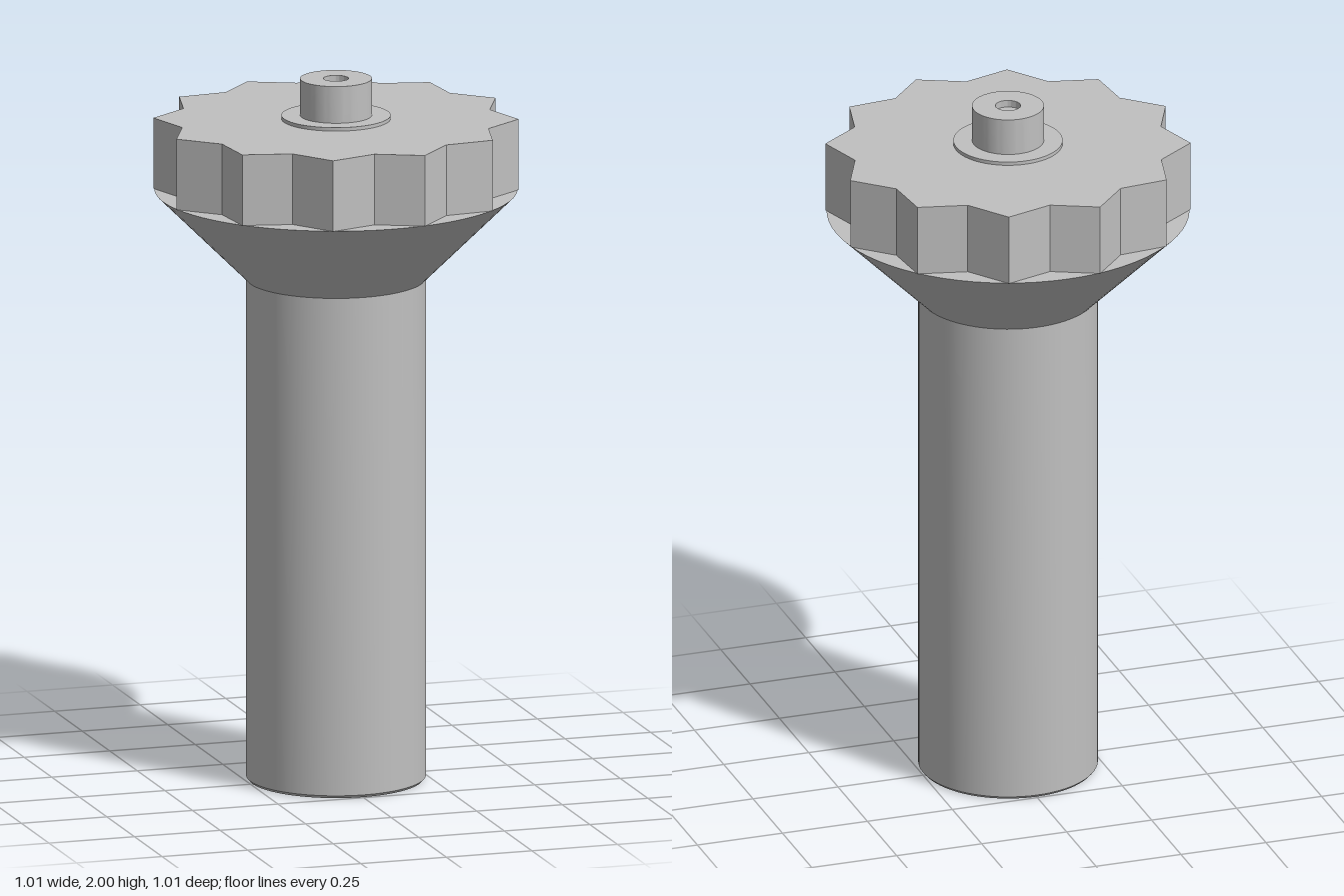
import * as THREE from 'three';
import { toCreasedNormals } from 'three/addons/utils/BufferGeometryUtils.js';

export function createModel() {
  const model = new THREE.Group();
  model.name = 'knob';
  const grey = new THREE.MeshStandardMaterial({ color: 0xc0c0c0 });
  grey.name = 'grey';

  const add = (name, geometry) => {
    const mesh = new THREE.Mesh(geometry, grey);
    mesh.name = name;
    model.add(mesh);
  };

  // Round parts: profile of [radius, height] from the bottom up
  const turn = (name, profile) => {
    const points = profile.map(([r, y]) => new THREE.Vector2(r, y));
    add(name, toCreasedNormals(new THREE.LatheGeometry(points, 72), 0.5));
  };

  // Shaft with a small bevel at the foot
  turn('shaft', [[0, 0], [0.243, 0], [0.25, 0.008], [0.25, 1.43]]);

  // Flaring collar with a flat top
  turn('collar', [[0.25, 1.43], [0.505, 1.683], [0, 1.683]]);

  // Toothed grip: twelve tips with valleys midway between them
  const outline = [];
  for (let i = 0; i < 24; i++) {
    const angle = THREE.MathUtils.degToRad(11.25 + i * 15);
    const radius = i % 2 ? 0.441 : 0.508;
    outline.push(new THREE.Vector2(radius * Math.cos(angle), radius * Math.sin(angle)));
  }
  const grip = new THREE.ExtrudeGeometry(new THREE.Shape(outline), { depth: 0.202, bevelEnabled: false });
  grip.rotateX(-Math.PI / 2);
  grip.translate(0, 1.683, 0);
  add('toothedGrip', grip);

  // Thin washer under the pin
  turn('washer', [[0.152, 1.885], [0.152, 1.895], [0, 1.895]]);

  // Pin with a shallow hole in its end
  turn('pin', [[0.1, 1.895], [0.1, 2], [0.035, 2], [0.035, 1.98], [0, 1.98]]);

  return model;
}
